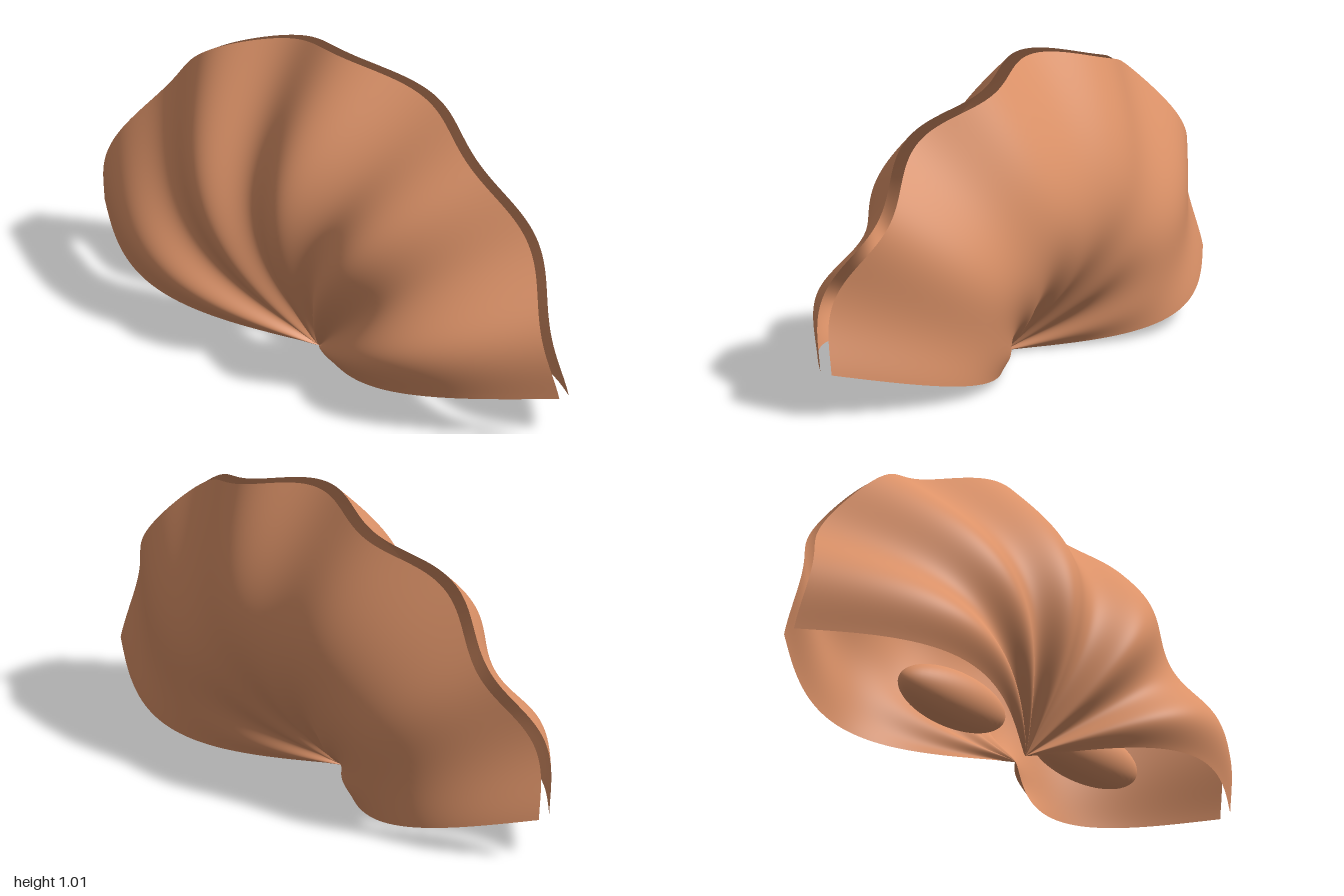
import * as THREE from 'three';

const START = THREE.MathUtils.degToRad(8.7);   // angle of the straight lower edge
const PERIOD = THREE.MathUtils.degToRad(34.5); // angle between neighbouring ribs
const LEAN = -0.13;                            // both valves lean back a little
const DOME = 0.26;

// One fan-shaped valve: ribs radiate from the hinge and the rim ripples.
// side = 1 bulges forwards, side = -1 bulges backwards.
function makeValve(side, material) {
  const geometry = new THREE.PlaneGeometry(1, 1, 200, 60);
  const position = geometry.attributes.position;
  const uv = geometry.attributes.uv;
  for (let i = 0; i < position.count; i++) {
    const v = uv.getY(i);
    const fromCentre = side * (uv.getX(i) - 0.5) * (Math.PI - 2 * START);
    const wave = Math.cos((fromCentre / PERIOD) * Math.PI * 2);
    const ribs = 0.045 * Math.sqrt(v) * (1 - v);  // outward ribs, fading at the rim
    const rimWave = 0.037 * Math.pow(v, 1.1);     // interlocking wave, growing to the rim
    const radius = v * (1.008 + 0.005 * wave * v);
    position.setXYZ(
      i,
      radius * Math.sin(fromCentre),
      radius * Math.cos(fromCentre),
      side * (DOME * Math.sin(Math.PI * v) + ribs * wave) + rimWave * wave - 0.018 * v
    );
  }
  geometry.computeVertexNormals();
  const valve = new THREE.Mesh(geometry, material);
  valve.rotation.x = LEAN;
  return valve;
}

export function createModel() {
  const model = new THREE.Group();
  model.name = 'clamShell';

  const shell = new THREE.MeshStandardMaterial({ color: 0xdc9268, side: THREE.DoubleSide });
  shell.name = 'shellOrange';

  // Two valves hinged at the bottom
  const frontValve = makeValve(1, shell);
  frontValve.name = 'frontValve';
  frontValve.position.set(0, 0.01, 0.06);

  const backValve = makeValve(-1, shell);
  backValve.name = 'backValve';
  backValve.position.set(0, 0.004, 0.015);
  model.add(frontValve, backValve);

  // Soft body: an oval muscle on each side of the hinge
  const oval = new THREE.SphereGeometry(1, 40, 28);
  for (const [name, sign] of [['leftMuscle', 1], ['rightMuscle', -1]]) {
    const muscle = new THREE.Mesh(oval, shell);
    muscle.name = name;
    muscle.scale.set(0.23, 0.093, 0.086);
    muscle.position.set(sign * 0.3, 0.127, 0.024);
    model.add(muscle);
  }

  return model;
}
